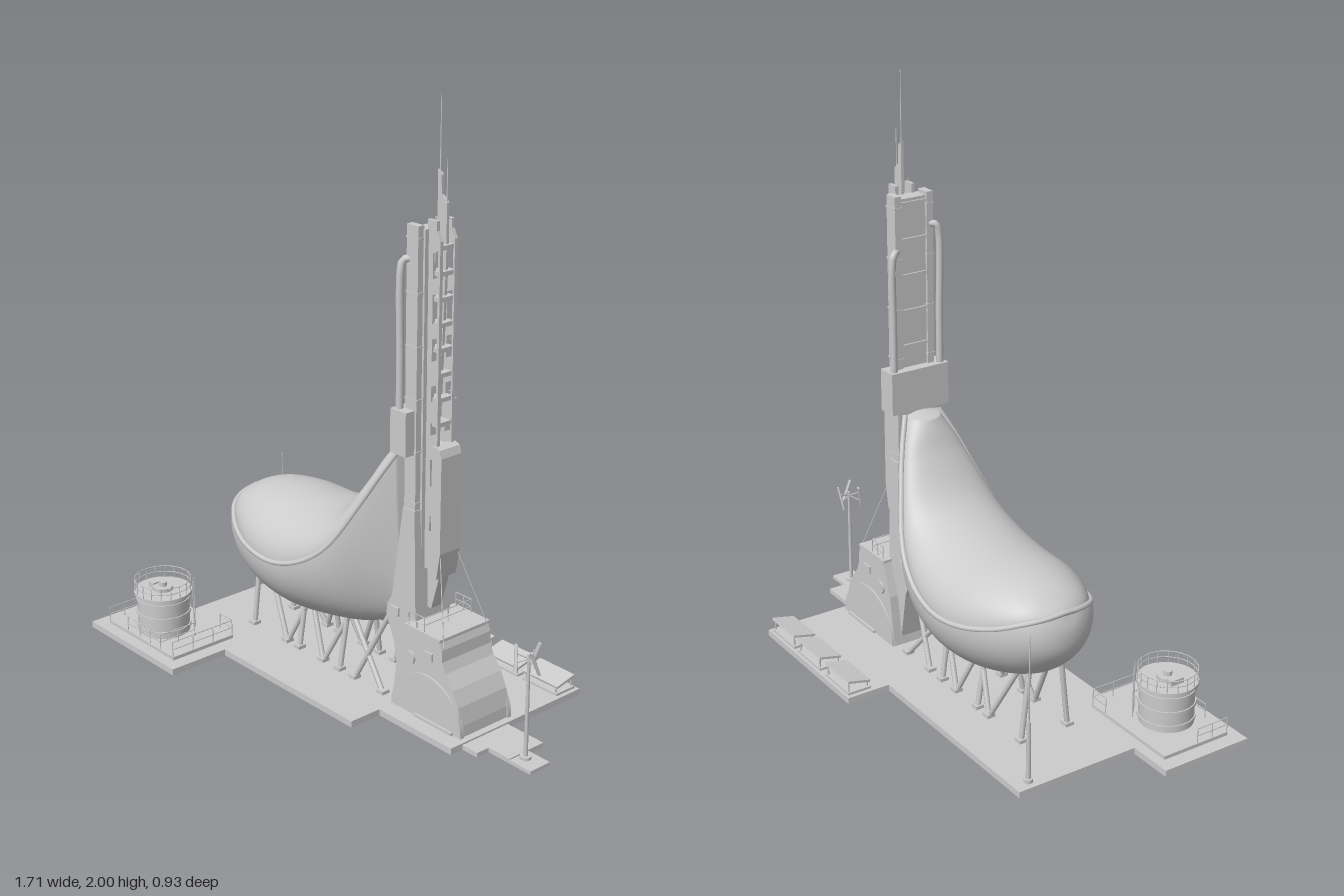
import * as THREE from 'three';

const ZC = -0.053; // centre plane of hull and tower

export function createModel() {
  const root = new THREE.Group();
  const mat = new THREE.MeshStandardMaterial({ color: 0xcccccc });
  const matDouble = new THREE.MeshStandardMaterial({ color: 0xcccccc, side: THREE.DoubleSide });
  const V = (x, y, z) => new THREE.Vector3(x, y, z);

  const add = (name, geo, m = mat) => {
    const mesh = new THREE.Mesh(geo, m);
    mesh.name = name;
    root.add(mesh);
    return mesh;
  };
  const box = (name, x0, x1, y0, y1, z0, z1) =>
    add(name, new THREE.BoxGeometry(x1 - x0, y1 - y0, z1 - z0)
      .translate((x0 + x1) / 2, (y0 + y1) / 2, (z0 + z1) / 2));
  const rod = (name, a, b, r, r2 = r, sides = 8) => {
    const d = b.clone().sub(a);
    const mesh = add(name, new THREE.CylinderGeometry(r2, r, d.length(), sides));
    mesh.position.copy(a).addScaledVector(d, 0.5);
    mesh.quaternion.setFromUnitVectors(V(0, 1, 0), d.normalize());
    return mesh;
  };
  const cyl = (name, x, y0, y1, z, r, sides = 40) =>
    add(name, new THREE.CylinderGeometry(r, r, y1 - y0, sides).translate(x, (y0 + y1) / 2, z));
  const poly = pts => new THREE.Shape(pts.map(p => new THREE.Vector2(...p)));
  const extrude = (name, shape, z0, z1) =>
    add(name, new THREE.ExtrudeGeometry(shape, { depth: z1 - z0, bevelEnabled: false, curveSegments: 24 })
      .translate(0, 0, z0));
  const railing = (name, pts, y, h, r = 0.0018) => {
    pts.forEach(([x, z], i) => {
      rod(name + 'Post', V(x, y, z), V(x, y + h, z), r, r, 5);
      if (!i) return;
      const [px, pz] = pts[i - 1];
      for (const k of [0.5, 1]) rod(name + 'Bar', V(px, y + h * k, pz), V(x, y + h * k, z), r, r, 5);
    });
  };

  // Ground slab and stepped jetty
  const slab = new THREE.ExtrudeGeometry(poly([
    [-0.855, -0.46], [-0.38, -0.46], [-0.38, -0.24], [0.275, -0.24], [0.275, -0.12], [0.605, -0.12],
    [0.605, 0.465], [0.055, 0.465], [0.055, 0.31], [-0.7, 0.31], [-0.7, -0.13], [-0.855, -0.13],
  ]), { depth: 0.022, bevelEnabled: false }).rotateX(-Math.PI / 2);
  add('groundSlab', slab);
  box('jettyInner', 0.605, 0.67, 0, 0.016, -0.13, 0.07);
  box('jettyMiddle', 0.67, 0.76, 0, 0.016, -0.13, 0.02);
  box('jettyOuter', 0.76, 0.85, 0, 0.012, -0.065, 0.02);

  // Hull: rim x, y, half width | ridge x, y | keel x, y
  const stations = [
    [-0.565, 0.495, 0, -0.565, 0.495, -0.565, 0.495], [-0.555, 0.487, 0.07, -0.54, 0.515, -0.585, 0.43],
    [-0.52, 0.472, 0.135, -0.5, 0.54, -0.575, 0.35], [-0.45, 0.442, 0.19, -0.44, 0.56, -0.5, 0.265],
    [-0.34, 0.414, 0.235, -0.34, 0.572, -0.36, 0.205], [-0.2, 0.402, 0.248, -0.2, 0.575, -0.2, 0.18],
    [-0.07, 0.437, 0.238, -0.07, 0.597, -0.06, 0.19], [0.04, 0.515, 0.208, 0.03, 0.65, 0.06, 0.21],
    [0.14, 0.68, 0.15, 0.124, 0.77, 0.15, 0.245], [0.195, 0.79, 0.11, 0.158, 0.835, 0.2, 0.275],
    [0.24, 0.88, 0.07, 0.18, 0.875, 0.245, 0.3],
  ];
  const curve = f => new THREE.CatmullRomCurve3(stations.map(f));
  const rim = curve(s => V(s[0], s[1], s[2]));
  const ridge = curve(s => V(s[3], s[4], 0));
  const keel = curve(s => V(s[5], s[6], 0));
  const shell = (name, edge, inset) => {
    const N = 70, M = 36, pos = [], idx = [];
    for (let i = 0; i <= N + 1; i++) {
      const t = Math.min(i / N, 1), r = rim.getPoint(t), e = edge.getPoint(t);
      for (let j = 0; j <= M; j++) {
        const a = Math.PI * j / M, s = Math.sin(a);
        if (i > N) pos.push(0.25, 0.885, ZC); // closes the tower end
        else pos.push(r.x + (e.x - r.x) * s, r.y + (e.y - r.y) * s,
          ZC + Math.max(r.z - inset, 0) * Math.cos(a));
        if (i <= N && j < M) {
          const k = i * (M + 1) + j;
          idx.push(k, k + 1, k + M + 1, k + 1, k + M + 2, k + M + 1);
        }
      }
    }
    const g = new THREE.BufferGeometry();
    g.setAttribute('position', new THREE.Float32BufferAttribute(pos, 3));
    if (edge === ridge) idx.reverse();
    g.setIndex(idx);
    g.computeVertexNormals();
    add(name, g, matDouble);
  };
  shell('lowerHull', keel, 0);
  shell('upperHull', ridge, 0.012);
  const rimPts = [];
  for (let i = -60; i <= 60; i++) {
    const p = rim.getPoint(Math.abs(i) / 60);
    rimPts.push(V(p.x, p.y, ZC + Math.sign(i) * (p.z - 0.006)));
  }
  add('hullRim', new THREE.TubeGeometry(new THREE.CatmullRomCurve3(rimPts), 160, 0.009, 8));

  // Hull legs: top x, top y, foot x
  for (const s of [-1, 1]) {
    for (const [tx, ty, fx] of [[-0.47, 0.28, -0.47], [-0.41, 0.24, -0.29], [-0.2, 0.21, -0.29], [-0.225, 0.21, -0.225],
      [-0.19, 0.21, -0.1], [0.0, 0.22, -0.1], [-0.01, 0.22, -0.015], [0.02, 0.23, 0.2], [0.2, 0.3, 0.06]]) {
      rod('hullLeg', V(fx, 0.02, ZC + s * 0.09), V(tx, ty, ZC + s * 0.06), 0.009);
      box('legFoot', fx - 0.015, fx + 0.015, 0.02, 0.034, ZC + s * 0.09 - 0.015, ZC + s * 0.09 + 0.015);
    }
  }

  // Tower shaft: core, side columns, bands and flared foot
  box('towerCore', 0.28, 0.33, 0.02, 1.6, ZC - 0.05, ZC + 0.05);
  for (const s of [-1, 1]) {
    const z = ZC + s * 0.059;
    box('towerColumn', 0.272, 0.322, 0.02, 1.612, z - 0.012, z + 0.012);
    for (let y = 0.55; y < 1.6; y += 0.17) box('columnBand', 0.27, 0.325, y, y + 0.006, z - 0.014, z + 0.014);
    const o = ZC + s * 0.108;
    box('collarBlock', 0.245, 0.315, 0.885, 1.03, Math.min(o, ZC + s * 0.06), Math.max(o, ZC + s * 0.06));
    // Pipe that bends into the tower
    const top = s > 0 ? 1.505 : 1.43, pz = ZC + s * 0.088;
    add('sidePipe', new THREE.TubeGeometry(new THREE.CatmullRomCurve3([V(0.265, 1.0, pz), V(0.265, 1.2, pz),
      V(0.265, top - 0.03, pz), V(0.267, top - 0.004, pz - s * 0.008), V(0.285, top, ZC + s * 0.055)]), 40, 0.012, 10));
  }
  box('collarFront', 0.245, 0.28, 0.885, 1.03, ZC - 0.1, ZC + 0.1);
  for (let y = 1.1; y < 1.6; y += 0.12) box('coreRib', 0.274, 0.28, y, y + 0.01, ZC - 0.05, ZC + 0.05);
  extrude('towerFoot', poly([[0.27, 0.02], [0.4, 0.02], [0.4, 0.32], [0.335, 0.32], [0.325, 0.7], [0.272, 0.7],
    [0.225, 0.38], [0.2, 0.34], [0.2, 0.3], [0.235, 0.22]]), ZC - 0.076, ZC + 0.076);
  for (const s of [-1, 1]) box('footHatch', 0.22, 0.26, 0.315, 0.345, ZC + s * 0.078 - 0.005, ZC + s * 0.078 + 0.005);

  // Rear mast: slotted plates, rungs, blade and spikes
  for (const s of [-1, 1]) {
    const plate = poly([[0.325, 0.5], [0.38, 0.5], [0.38, 1.57], [0.365, 1.6], [0.365, 1.63], [0.325, 1.63]]);
    for (const [a, b] of [[0.63, 0.69], [0.78, 0.88], [0.95, 1.0], [1.06, 1.12], [1.19, 1.27], [1.31, 1.41], [1.45, 1.54]])
      plate.holes.push(new THREE.Path([[0.35, a], [0.373, a + 0.01], [0.373, b], [0.35, b - 0.01]]
        .map(p => new THREE.Vector2(...p))));
    extrude('mastPlate', plate, ZC + s * 0.03 - 0.006, ZC + s * 0.03 + 0.006);
  }
  for (let y = 0.58; y < 1.6; y += 0.08) box('mastRung', 0.33, 0.376, y, y + 0.014, ZC - 0.03, ZC + 0.03);
  extrude('mastBlade', poly([[0.325, 1.0], [0.345, 1.0], [0.365, 1.5], [0.365, 1.68], [0.342, 1.7], [0.34, 1.76], [0.325, 1.775]]),
    ZC - 0.013, ZC - 0.003);
  rod('tallSpike', V(0.33, 1.7, -0.061), V(0.33, 2, -0.061), 0.003, 0.0015, 6);
  rod('shortSpike', V(0.36, 1.6, -0.061), V(0.36, 1.81, -0.061), 0.003, 0.0015, 6);
  rod('sideSpike', V(0.35, 1.5, -0.025), V(0.35, 1.64, -0.025), 0.003, 0.002, 6);

  // Rear pod with rounded top and tapered tail
  extrude('rearPod', poly([[0.365, 0.56], [0.372, 0.48], [0.392, 0.48], [0.407, 0.57], [0.407, 0.89], [0.398, 0.915],
    [0.38, 0.922], [0.365, 0.922]]), ZC - 0.043, ZC + 0.043);
  extrude('podBrace', poly([[0.33, 0.36], [0.35, 0.36], [0.39, 0.5], [0.365, 0.56], [0.33, 0.56]]), ZC - 0.022, ZC + 0.022);

  // Engine house with arched recess on both faces
  const house = poly([[0.26, 0.02], [0.58, 0.02], [0.578, 0.06], [0.565, 0.12], [0.54, 0.17], [0.505, 0.215],
    [0.49, 0.25], [0.488, 0.29], [0.478, 0.318], [0.33, 0.322], [0.285, 0.2]]);
  const arc = r => {
    const s = new THREE.Shape();
    s.absarc(0.425, 0.022, r, 0, Math.PI, false);
    return s;
  };
  house.holes.push(arc(0.13));
  extrude('engineHouse', house, -0.16, 0.053);
  extrude('archBackWall', arc(0.132), -0.13, 0.023);
  for (const [a, b] of [[-0.166, -0.15], [0.043, 0.06]]) {
    const ring = arc(0.16);
    ring.holes.push(arc(0.132));
    extrude('archRing', ring, a, b);
    box('archStep', 0.38, 0.55, 0.02, 0.032, a - 0.008, b + 0.008);
    add('porthole', new THREE.CylinderGeometry(0.024, 0.024, 0.018, 20).rotateX(Math.PI / 2)
      .translate(0.345, 0.215, (a + b) / 2));
    box('houseWindow', 0.41, 0.45, 0.238, 0.265, a, b);
  }
  box('roofLedge', 0.32, 0.482, 0.315, 0.325, -0.163, 0.057);
  railing('roofRail', [[0.335, 0.05], [0.37, 0.05], [0.405, 0.05], [0.405, -0.053], [0.405, -0.155], [0.37, -0.155],
    [0.335, -0.155]], 0.322, 0.05);
  for (const s of [-1, 1]) rod('stayCable', V(0.4, 0.57, ZC + s * 0.035), V(0.49, 0.3, ZC + s * 0.1), 0.0018, 0.0018, 5);

  // Storage tank on its pad
  const tx = -0.632, tz = 0.31;
  box('tankPad', -0.805, -0.43, 0.02, 0.034, 0.165, 0.42);
  cyl('tankBody', tx, 0.03, 0.18, tz, 0.09);
  for (const y of [0.05, 0.1, 0.15]) cyl('tankHoop', tx, y, y + 0.01, tz, 0.094);
  cyl('tankDeck', tx, 0.172, 0.182, tz, 0.1);
  cyl('tankCap', tx, 0.18, 0.195, tz, 0.035, 20);
  cyl('tankVent', tx, 0.19, 0.21, tz, 0.014, 12);
  box('tankOutlet', tx - 0.05, tx - 0.025, 0.18, 0.2, tz - 0.025, tz + 0.025);
  const circle = [];
  for (let i = 0; i <= 18; i++) circle.push([tx + 0.097 * Math.cos(i * Math.PI / 9), tz + 0.097 * Math.sin(i * Math.PI / 9)]);
  railing('tankRail', circle, 0.182, 0.042);
  railing('padRailFront', [[-0.7, 0.415], [-0.63, 0.415], [-0.57, 0.415], [-0.51, 0.415], [-0.51, 0.34], [-0.51, 0.27]], 0.034, 0.05);
  railing('padRailLeft', [[-0.8, 0.42], [-0.8, 0.36], [-0.8, 0.3]], 0.034, 0.05);
  railing('padRailRight', [[-0.433, 0.42], [-0.433, 0.335], [-0.433, 0.25], [-0.433, 0.168], [-0.5, 0.168]], 0.034, 0.055);
  for (const s of [-1, 1]) rod('tankLadderRail', V(tx + 0.075 + s * 0.01, 0.03, 0.235 + s * 0.01),
    V(tx + 0.075 + s * 0.01, 0.22, 0.235 + s * 0.01), 0.002, 0.002, 5);

  // Sloped panels along the back edge
  for (const x of [0.07, 0.26, 0.437]) {
    const panel = box('slopedPanel', -0.077, 0.077, -0.004, 0.004, -0.042, 0.042);
    panel.position.set(x + 0.077, 0.06, -0.413);
    panel.rotation.x = 0.22;
    for (const px of [x + 0.01, x + 0.144]) {
      rod('panelLeg', V(px, 0.02, -0.448), V(px, 0.066, -0.448), 0.003, 0.003, 5);
      rod('panelLeg', V(px, 0.02, -0.378), V(px, 0.05, -0.378), 0.003, 0.003, 5);
    }
    box('panelBase', x, x + 0.154, 0.02, 0.03, -0.455, -0.37);
  }

  // Corner aerial
  rod('aerialBase', V(-0.667, 0.02, -0.255), V(-0.667, 0.235, -0.255), 0.008, 0.007);
  rod('aerialWhip', V(-0.667, 0.23, -0.255), V(-0.667, 0.53, -0.255), 0.003, 0.002, 6);
  cyl('aerialFoot', -0.667, 0.02, 0.035, -0.255, 0.015, 16);

  // Vertical-axis wind turbine
  const wx = 0.785, wz = -0.025;
  rod('turbinePole', V(wx, 0.01, wz), V(wx, 0.37, wz), 0.007, 0.005);
  cyl('turbineFoot', wx, 0.01, 0.022, wz, 0.018, 16);
  for (let i = 0; i < 3; i++) {
    const at = (a, r, y) => V(wx + r * Math.cos(a), y, wz + r * Math.sin(a));
    const a = 0.3 + i * Math.PI * 2 / 3;
    for (const y of [0.34, 0.37]) rod('turbineArm', V(wx, 0.355, wz), at(a, 0.036, y), 0.0025, 0.0025, 5);
    const blade = rod('turbineBlade', at(a - 0.35, 0.042, 0.315), at(a + 0.35, 0.042, 0.395), 0.007, 0.007, 6);
    blade.scale.z = 0.5;
  }
  return root;
}
